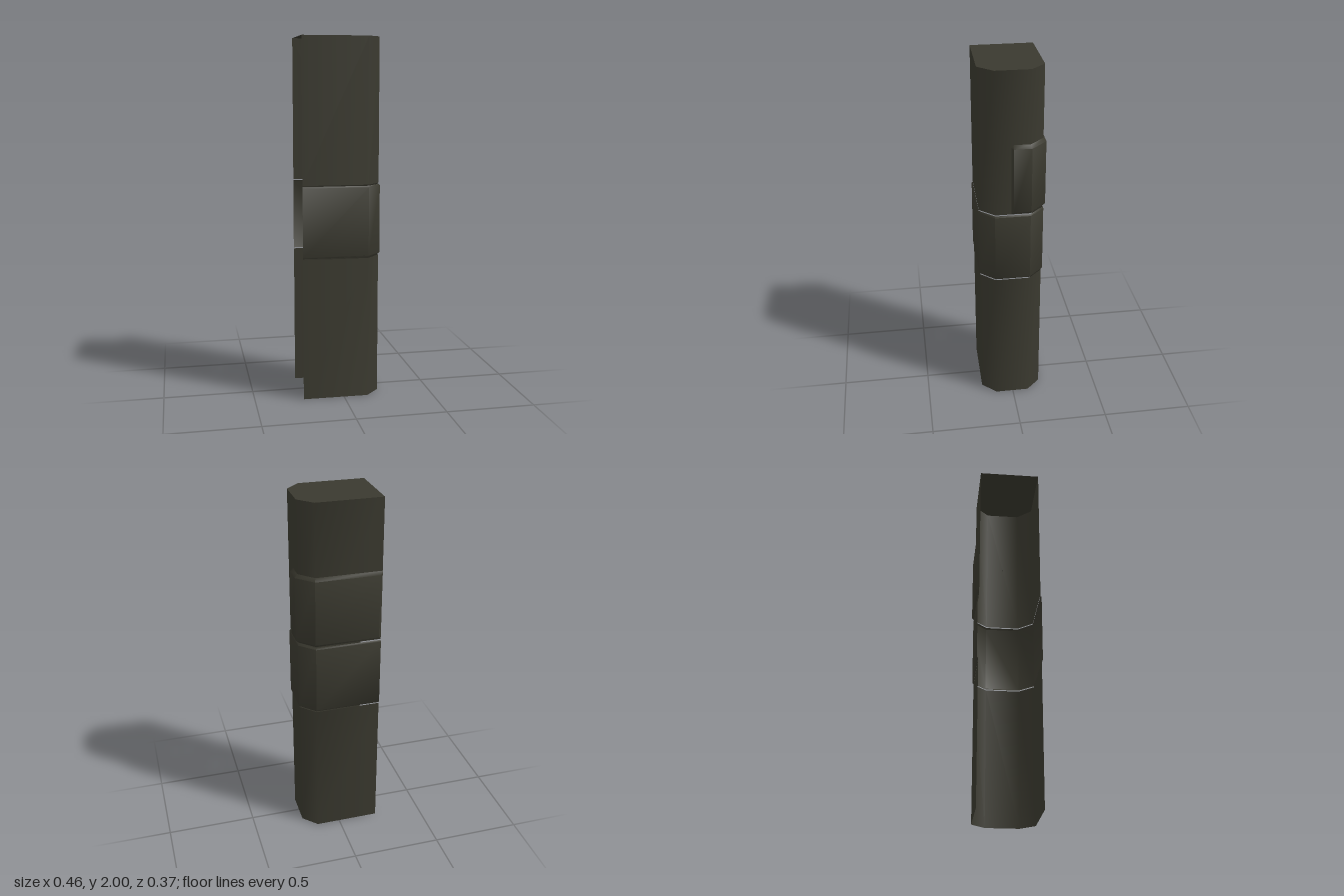
import * as THREE from 'three';
import { toCreasedNormals } from 'three/addons/utils/BufferGeometryUtils.js';

// Wall outlines as [x, z], running from the open end along the front, round the nose and back
const WALL = [[-0.23, 0.173], [0.134, 0.178], [0.21, 0.098], [0.21, -0.09], [0.134, -0.168], [-0.23, -0.168]];
const BAND = [[-0.23, 0.179], [0.136, 0.182], [0.217, 0.1], [0.217, -0.093], [0.136, -0.175], [-0.23, -0.175]];
const PAD_IN = [[0.21, 0.012], [0.21, 0.0], [0.21, -0.09], [0.134, -0.168], [-0.23, -0.168], [-0.23, -0.168]];
const PAD_OUT = [[0.21, 0.012], [0.227, 0.0], [0.227, -0.095], [0.14, -0.183], [-0.215, -0.183], [-0.23, -0.17]];

// Open sheet lofted through rows of [height, blend from inner to outer outline]
function loft(inner, outer, rows) {
  const n = inner.length;
  const positions = [];
  const index = [];
  rows.forEach(([y, t], r) => {
    inner.forEach(([x, z], i) => {
      positions.push(x + (outer[i][0] - x) * t, y, z + (outer[i][1] - z) * t);
      if (r === 0 || i === 0) return;
      const d = r * n + i;
      index.push(d - n - 1, d - n, d, d - n - 1, d, d - 1);
    });
  });
  const geometry = new THREE.BufferGeometry();
  geometry.setAttribute('position', new THREE.Float32BufferAttribute(positions, 3));
  geometry.setIndex(index);
  return toCreasedNormals(geometry, 0.95);
}

export function createModel() {
  const group = new THREE.Group();
  const casing = new THREE.MeshStandardMaterial({ color: 0x3a392f, side: THREE.DoubleSide });
  casing.name = 'darkOliveCasing';

  function add(name, geometry) {
    const mesh = new THREE.Mesh(geometry, casing);
    mesh.name = name;
    group.add(mesh);
    return mesh;
  }

  // Thin walls, open at the bottom and along one side
  add('lowerWall', loft(WALL, WALL, [[0, 0], [0.796, 0]]));
  add('upperWall', loft(WALL, WALL, [[1.204, 0], [2, 0]]));

  // Slightly wider middle band with bevelled rims
  add('middleBand', loft(WALL, BAND, [[0.802, 0], [0.81, 1], [1.19, 1], [1.198, 0]]));

  // Raised pad wrapping the back and half of the nose
  add('raisedPad', loft(PAD_IN, PAD_OUT, [[1.206, 0], [1.222, 1], [1.585, 1], [1.603, 0]]));

  // Flat lid
  const lid = new THREE.Shape(WALL.map(([x, z]) => new THREE.Vector2(x, -z)));
  add('topLid', new THREE.ShapeGeometry(lid).rotateX(-Math.PI / 2)).position.y = 2;

  return group;
}
